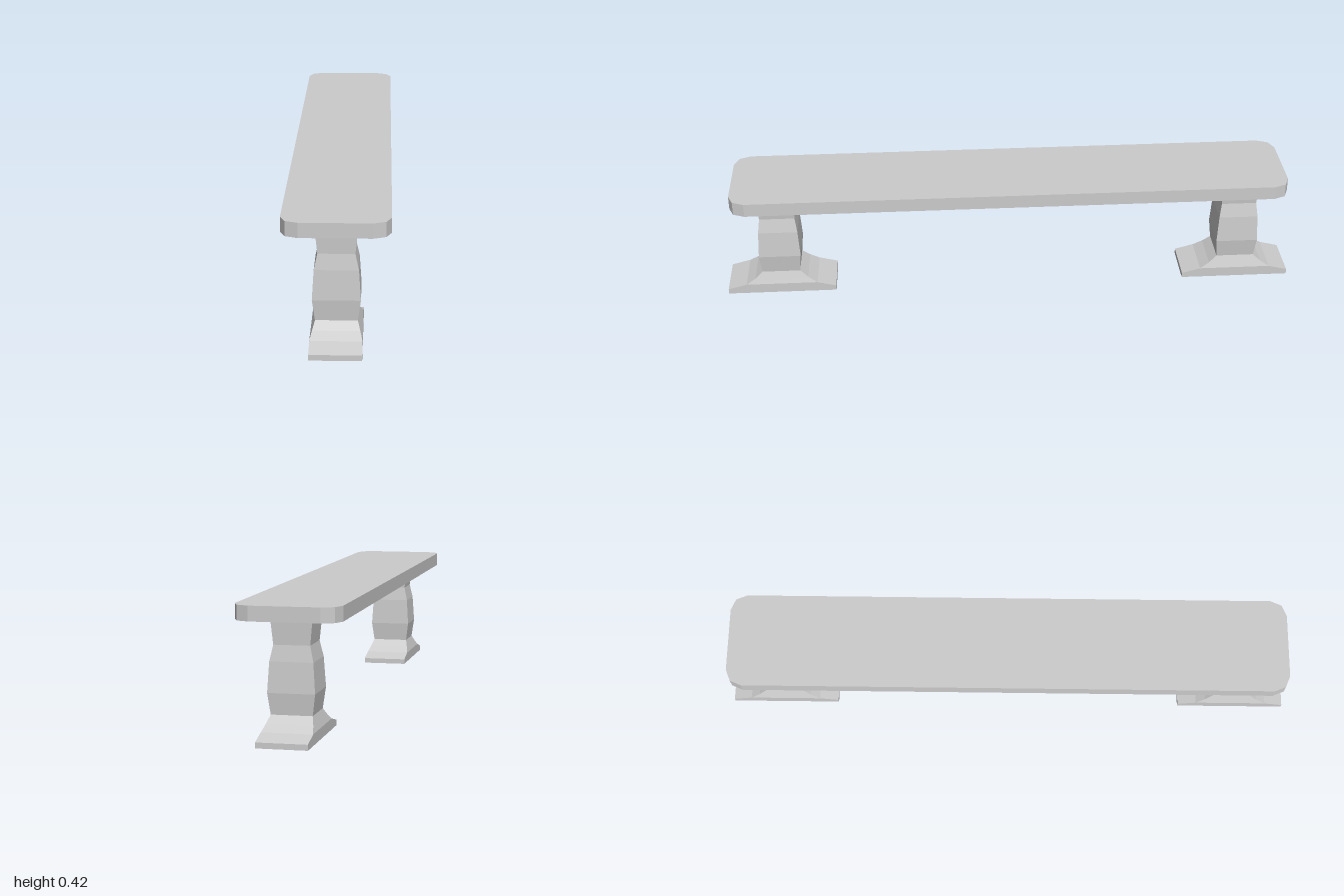
import * as THREE from 'three';

const material = new THREE.MeshStandardMaterial({ color: 0xcccccc, flatShading: true });

// Leg profile from floor to seat: [height, half width in x, half depth in z]
const LEG = [
  [0, 0.08, 0.19],
  [0.018, 0.08, 0.19],
  [0.035, 0.08, 0.125],
  [0.055, 0.073, 0.093],
  [0.078, 0.065, 0.066],
  [0.145, 0.074, 0.073],
  [0.24, 0.068, 0.068],
  [0.29, 0.057, 0.061],
  [0.37, 0.065, 0.065],
];

// Box whose rows of vertices are moved onto the profile's rectangles
function profiledBox(profile) {
  const rows = profile.length - 1;
  const geometry = new THREE.BoxGeometry(2, rows, 2, 1, rows, 1);
  const p = geometry.attributes.position;
  for (let i = 0; i < p.count; i++) {
    const [y, hx, hz] = profile[Math.round(p.getY(i) + rows / 2)];
    p.setXYZ(i, p.getX(i) * hx, y, p.getZ(i) * hz);
  }
  geometry.computeVertexNormals();
  return geometry;
}

// Slab lying flat with faceted round corners
function seatGeometry(hx, hz, r, bottom, top) {
  const s = new THREE.Shape();
  s.absarc(hx - r, hz - r, r, 0, Math.PI / 2);
  s.absarc(-hx + r, hz - r, r, Math.PI / 2, Math.PI);
  s.absarc(-hx + r, -hz + r, r, Math.PI, Math.PI * 1.5);
  s.absarc(hx - r, -hz + r, r, Math.PI * 1.5, Math.PI * 2);
  const geometry = new THREE.ExtrudeGeometry(s, { depth: top - bottom, bevelEnabled: false, curveSegments: 1 });
  geometry.dispose();
  // two facets per corner
  const pts = [];
  for (let c = 0; c < 4; c++) {
    const cx = (c === 0 || c === 3 ? 1 : -1) * (hx - r);
    const cz = (c < 2 ? 1 : -1) * (hz - r);
    for (let k = 0; k <= 2; k++) {
      const a = (c + k / 2) * Math.PI / 2;
      pts.push(new THREE.Vector2(cx + r * Math.cos(a), cz + r * Math.sin(a)));
    }
  }
  return new THREE.ExtrudeGeometry(new THREE.Shape(pts), { depth: top - bottom, bevelEnabled: false })
    .rotateX(-Math.PI / 2)
    .translate(0, bottom, 0);
}

export function createModel() {
  const bench = new THREE.Group();
  bench.name = 'bench';

  const seat = new THREE.Mesh(seatGeometry(0.165, 0.96, 0.055, 0.37, 0.417), material);
  seat.name = 'seat';
  bench.add(seat);

  // Matching pedestal legs near both ends
  const legGeometry = profiledBox(LEG);
  for (const [name, z] of [['frontLeg', 0.81], ['backLeg', -0.81]]) {
    const leg = new THREE.Mesh(legGeometry, material);
    leg.name = name;
    leg.position.z = z;
    bench.add(leg);
  }
  return bench;
}
